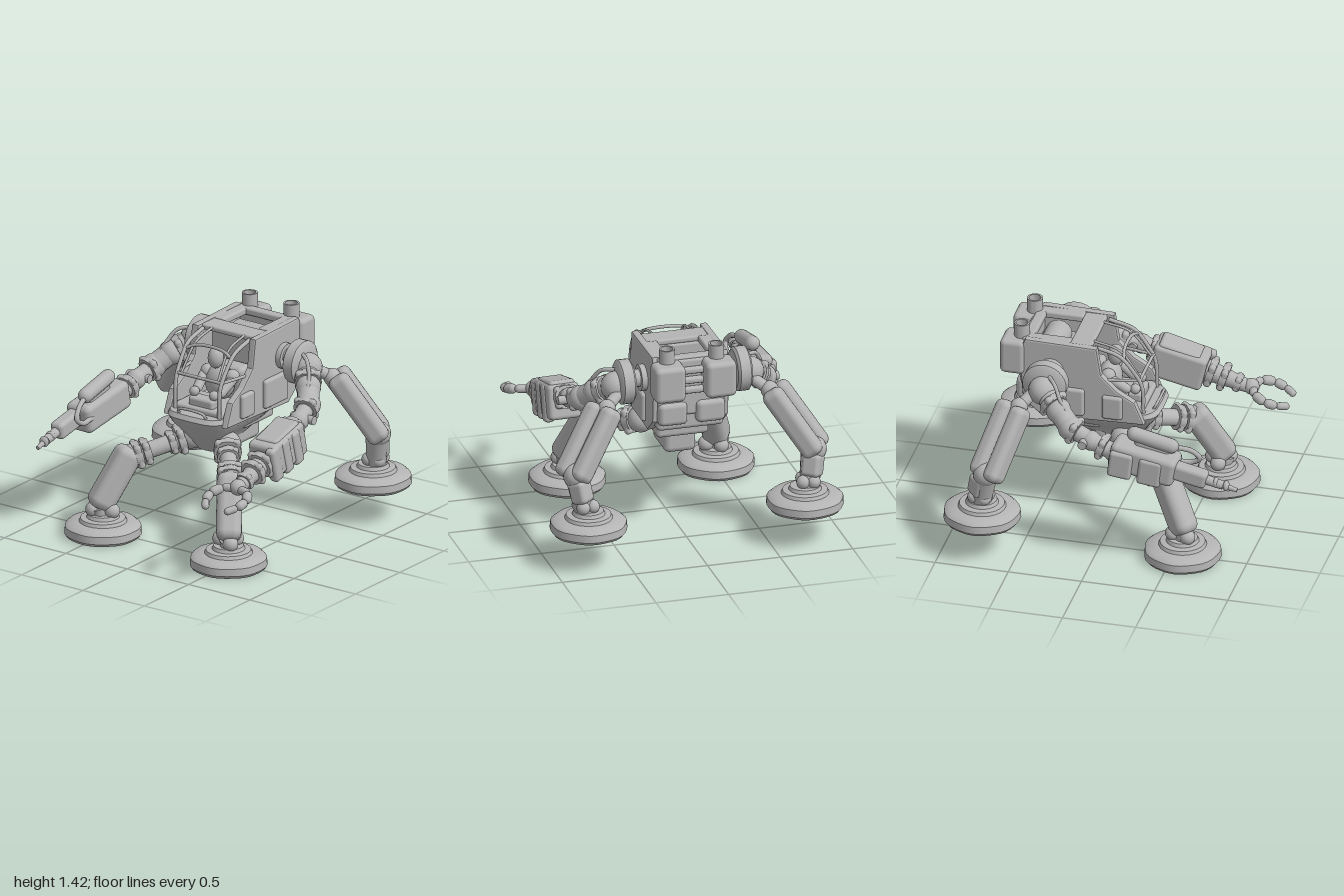
import * as THREE from 'three';
import { toCreasedNormals } from 'three/addons/utils/BufferGeometryUtils.js';
import { RoundedBoxGeometry } from 'three/addons/geometries/RoundedBoxGeometry.js';

const V = (x, y, z) => new THREE.Vector3(x, y, z);

export function createModel() {
  const model = new THREE.Group();
  const grey = new THREE.MeshStandardMaterial({ color: 0xb4b4b4 });
  grey.name = 'plain grey';

  const add = (name, geo, pos = V(0, 0, 0)) => {
    const m = new THREE.Mesh(geo, grey);
    m.name = name;
    m.position.copy(pos);
    model.add(m);
    return m;
  };
  const box = (name, x, y, z, w, h, d, r = 0.02) =>
    add(name, new RoundedBoxGeometry(w, h, d, 2, Math.min(r, w / 2.1, h / 2.1, d / 2.1)), V(x, y, z));
  const ball = (name, p, r, sx = 1, sy = 1, sz = 1) => {
    const m = add(name, new THREE.SphereGeometry(r, 18, 12), p);
    m.scale.set(sx, sy, sz);
    return m;
  };
  // Points a mesh's y axis from a to b, keeping its x axis level
  const aim = (m, a, b) => {
    const y = b.clone().sub(a).normalize();
    const x = Math.abs(y.y) > 0.99 ? V(1, 0, 0) : y.clone().cross(V(0, 1, 0)).normalize();
    const z = x.clone().cross(y).normalize();
    x.crossVectors(y, z);
    m.quaternion.setFromRotationMatrix(new THREE.Matrix4().makeBasis(x, y, z));
    m.position.copy(a).lerp(b, 0.5);
    return m;
  };
  const rod = (name, a, b, r0, r1 = r0) =>
    aim(add(name, toCreasedNormals(new THREE.CylinderGeometry(r1, r0, a.distanceTo(b), 16), 0.7)), a, b);
  const block = (name, a, b, w, d, r = 0.03) =>
    aim(add(name, new RoundedBoxGeometry(w, a.distanceTo(b), d, 2, r)), a, b);
  const pill = (name, a, b, r) =>
    aim(add(name, new THREE.CapsuleGeometry(r, Math.max(0.01, a.distanceTo(b) - 2 * r), 5, 14)), a, b);
  const collar = (name, a, b, t, r, len = 0.05) => {
    const c = a.clone().lerp(b, t), d = b.clone().sub(a).normalize().multiplyScalar(len / 2);
    return block(name, c.clone().sub(d), c.clone().add(d), r * 2, r * 2, len * 0.45),
      rod(name, c.clone().sub(d), c.clone().add(d), r * 1.06);
  };
  const tube = (name, pts, r) =>
    add(name, new THREE.TubeGeometry(new THREE.CatmullRomCurve3(pts), 24, r, 8));

  // Lower hull: squarish rings lofted from the keel to the rim
  const levels = [[0.57, 0.08, 0.12, -0.12], [0.62, 0.1, 0.16, -0.2], [0.7, 0.16, 0.22, -0.36],
    [0.78, 0.235, 0.28, -0.43], [0.83, 0.255, 0.31, -0.5], [0.86, 0.25, 0.29, -0.52]];
  const N = 28, pos = [], idx = [];
  const sq = v => Math.sign(v) * Math.abs(v) ** 0.5;
  for (const [y, w, zf, zb] of levels)
    for (let i = 0; i < N; i++) {
      const t = i / N * Math.PI * 2;
      pos.push(w * sq(Math.sin(t)), y, (zf + zb) / 2 + (zf - zb) / 2 * sq(Math.cos(t)));
    }
  const top = (levels.length - 1) * N;
  for (let k = 0; k < levels.length - 1; k++)
    for (let i = 0; i < N; i++) {
      const a = k * N + i, b = k * N + (i + 1) % N;
      idx.push(a, b, b + N, a, b + N, a + N);
    }
  for (let i = 1; i < N - 1; i++) idx.push(0, i + 1, i, top, top + i, top + i + 1);
  const hull = new THREE.BufferGeometry();
  hull.setAttribute('position', new THREE.Float32BufferAttribute(pos, 3));
  hull.setIndex(idx);
  add('lowerHull', toCreasedNormals(hull, 0.6));
  box('bellyTank', 0, 0.63, -0.21, 0.22, 0.16, 0.31, 0.04);
  box('bellyPlate', 0, 0.74, -0.25, 0.36, 0.1, 0.34, 0.03);

  // Cabin side walls
  const wall = new THREE.Shape([[-0.1, 1.33], [-0.07, 1.14], [0.04, 1.03], [0.16, 0.96], [0.22, 0.82], [-0.46, 0.8],
    [-0.58, 0.9], [-0.61, 1.25], [-0.57, 1.34]].map(p => new THREE.Vector2(...p)));
  const wallGeo = new THREE.ExtrudeGeometry(wall, { depth: 0.03, bevelSize: 0.012, bevelThickness: 0.012, bevelSegments: 2 });
  wallGeo.rotateY(-Math.PI / 2).translate(0.015, 0, 0);
  for (const s of [-1, 1]) {
    add('cabinWall', wallGeo, V(s * 0.235, 0, 0));
    box('sidePad', s * 0.265, 0.92, 0.02, 0.05, 0.17, 0.14);
    box('sidePod', s * 0.265, 0.93, -0.3, 0.05, 0.2, 0.26);
    box('roofRail', s * 0.195, 1.32, -0.43, 0.11, 0.05, 0.3, 0.015);
  }
  box('rearBlock', 0, 1.0, -0.44, 0.46, 0.36, 0.32, 0.03);
  box('rearWall', 0, 1.13, -0.59, 0.46, 0.4, 0.06);
  box('cockpitBack', 0, 1.12, -0.27, 0.46, 0.36, 0.04, 0.015);
  box('roofFrontBar', 0, 1.32, -0.21, 0.44, 0.04, 0.15, 0.015);
  box('roofRearBar', 0, 1.32, -0.57, 0.46, 0.05, 0.07, 0.015);
  rod('engineDrum', V(-0.15, 1.2, -0.45), V(0.15, 1.2, -0.45), 0.09);

  // Exhaust boxes and stacks on the back
  for (const s of [-1, 1]) {
    box('exhaustBox', s * 0.175, 1.205, -0.665, 0.21, 0.25, 0.17, 0.035);
    const stack = new THREE.LatheGeometry([[0, 0], [0.053, 0], [0.053, 0.15], [0.04, 0.15], [0.04, 0.07], [0, 0.07]]
      .map(p => new THREE.Vector2(...p)), 18);
    add('exhaustStack', toCreasedNormals(stack, 0.6), V(s * 0.17, 1.275, -0.62));
    box('lowerRearPod', s * 0.13, 0.95, -0.6, 0.2, 0.16, 0.1, 0.035);
  }
  for (const y of [1.12, 1.19, 1.26]) rod('rearPipe', V(-0.1, y, -0.64), V(0.1, y, -0.64), 0.025);

  // Pilot, seat and console
  box('seat', 0, 0.97, -0.18, 0.26, 0.26, 0.14, 0.04);
  ball('pilotHead', V(-0.015, 1.18, -0.02), 0.055, 0.95, 1.35, 1);
  ball('pilotTorso', V(-0.01, 1.0, -0.06), 0.11, 1, 1.1, 0.75);
  for (const s of [-1, 1]) {
    ball('pilotShoulder', V(s * 0.1, 1.06, -0.05), 0.05);
    pill('pilotArm', V(s * 0.12, 1.06, -0.05), V(s * 0.09, 0.96, 0.1), 0.033);
    ball('controlKnob', V(s * 0.08, 0.975, 0.13), 0.034);
    rod('controlStick', V(s * 0.08, 0.86, 0.12), V(s * 0.08, 0.96, 0.13), 0.014);
  }
  box('console', 0, 0.9, 0.13, 0.2, 0.1, 0.1);
  box('footwell', 0, 0.87, 0.06, 0.4, 0.05, 0.3);

  // Cockpit cage
  for (const s of [-1, 1]) {
    tube('cageBar', [V(s * 0.19, 1.32, -0.12), V(s * 0.19, 1.27, 0.05), V(s * 0.185, 1.17, 0.14),
      V(s * 0.18, 1.06, 0.2), V(s * 0.18, 0.86, 0.21)], 0.014);
    tube('innerCageBar', [V(s * 0.13, 1.33, -0.14), V(s * 0.135, 1.28, 0.04), V(s * 0.15, 1.1, 0.185)], 0.009);
    tube('cageSideBar', [V(s * 0.18, 1.1, 0.18), V(s * 0.21, 1.1, 0.05), V(s * 0.23, 1.1, -0.07)], 0.011);
  }
  rod('cageCrossBar', V(-0.185, 1.1, 0.185), V(0.185, 1.1, 0.185), 0.011);
  tube('cageHoop', [V(-0.19, 1.24, 0.08), V(-0.1, 1.275, 0.06), V(0.1, 1.275, 0.06), V(0.19, 1.24, 0.08)], 0.012);
  tube('frontHandle', [V(-0.11, 0.85, 0.26), V(-0.1, 0.89, 0.28), V(0.1, 0.89, 0.28), V(0.11, 0.85, 0.26)], 0.01);

  // Foot: dished disc with a stepped collar and slightly uneven rim
  const footGeo = new THREE.LatheGeometry([[0, 0.06], [0.12, 0.035], [0.245, 0], [0.26, 0.02], [0.256, 0.07], [0.23, 0.092],
    [0.16, 0.1], [0.15, 0.122], [0.11, 0.127], [0.1, 0.15], [0, 0.15]].map(p => new THREE.Vector2(...p)), 32);
  const fp = footGeo.attributes.position;
  for (let i = 0; i < fp.count; i++) {
    const x = fp.getX(i), z = fp.getZ(i), r = Math.hypot(x, z), a = Math.atan2(z, x);
    if (r > 0.2) { const k = 1 - 0.012 * (1 + Math.cos(7 * a)); fp.setX(i, x * k); fp.setZ(i, z * k); }
    else if (r > 0.115 && r < 0.125) fp.setY(i, 0.035 + 0.015 * Math.cos(8 * a));
  }
  const foot = toCreasedNormals(footGeo, 0.7);

  for (const s of [-1, 1]) {
    const P = (x, y, z) => V(s * x, y, z);

    // Front leg
    const hip = P(0.1, 0.65, 0.02), knee = P(0.41, 0.52, 0.4), ankle = P(0.53, 0.2, 0.59);
    add('frontFoot', foot, P(0.512, 0, 0.565));
    rod('frontThigh', hip, knee, 0.06, 0.055);
    ball('frontHip', P(0.15, 0.63, 0.07), 0.09);
    [[0.3, 0.088], [0.42, 0.07], [0.78, 0.08], [0.9, 0.085]].forEach(([t, r]) => collar('thighCollar', hip, knee, t, r));
    ball('frontKnee', knee, 0.085);
    block('frontShin', P(0.4, 0.585, 0.395), P(0.535, 0.19, 0.595), 0.17, 0.18, 0.06);
    rod('frontAnklePost', P(0.52, 0.12, 0.57), ankle, 0.06);
    ball('ankleBall', P(0.56, 0.18, 0.61), 0.052);
    ball('ankleBall', P(0.44, 0.18, 0.56), 0.052);
    ball('ankleBall', P(0.53, 0.18, 0.5), 0.05);

    // Shoulder drum
    rod('shoulderAxle', P(0.22, 1.14, -0.4), P(0.38, 1.14, -0.4), 0.06);
    rod('axleRing', P(0.255, 1.14, -0.4), P(0.3, 1.14, -0.4), 0.09);
    const drum = new THREE.LatheGeometry([[0, -0.05], [0.13, -0.05], [0.15, -0.035], [0.15, 0.035], [0.13, 0.05], [0, 0.06]]
      .map(p => new THREE.Vector2(...p)), 28);
    aim(add('shoulderDrum', toCreasedNormals(drum, 0.6)), P(0.35, 1.125, -0.4), P(0.45, 1.125, -0.4));
    ball('shoulderBall', P(0.46, 1.1, -0.4), 0.1);

    // Upper arm
    const arm = [P(0.46, 1.1, -0.4), P(0.56, 1.02, -0.27), P(0.63, 0.94, -0.17), P(0.665, 0.885, -0.02), P(0.68, 0.83, 0.14)];
    for (let i = 0; i < 4; i++) {
      rod('armSegment', arm[i], arm[i + 1], i < 2 ? 0.075 : 0.058);
      ball('armJoint', arm[i + 1], i < 2 ? 0.085 : 0.068);
    }
    collar('armCollar', arm[0], arm[1], 0.65, 0.085);
    collar('armCollar', arm[2], arm[3], 0.2, 0.078);
    collar('armCollar', arm[3], arm[4], 0.5, 0.075);
    rod('elbowPin', P(0.58, 0.89, -0.06), P(0.76, 0.89, -0.06), 0.03);
    rod('elbowPin', P(0.6, 0.87, 0.06), P(0.74, 0.87, 0.06), 0.026);
    tube('armHose', [P(0.45, 1.2, -0.36), P(0.53, 1.18, -0.3), P(0.58, 1.1, -0.25), P(0.62, 0.99, -0.16)], 0.014);

    // Rear leg
    const rHip = P(0.44, 1.09, -0.45), rTop = P(0.56, 1.01, -0.54);
    add('rearFoot', foot, P(0.745, 0.235, -0.745));
    rod('rearHipRod', rHip, rTop, 0.04);
    ball('rearHipJoint', rTop, 0.06);
    for (const k of [-1, 1]) {
      const o = P(0.037 * k, 0, 0.056 * k);
      block('rearThigh', P(0.575, 1.035, -0.56).add(o), P(0.855, 0.6, -0.7).add(o), 0.12, 0.15, 0.05);
    }
    rod('rearThighCore', rTop, P(0.82, 0.6, -0.68), 0.06);
    ball('rearKnee', P(0.82, 0.62, -0.7), 0.085);
    rod('rearShin', P(0.815, 0.63, -0.7), P(0.77, 0.37, -0.745), 0.082, 0.065);
    block('rearShinPlate', P(0.81, 0.6, -0.73), P(0.785, 0.45, -0.76), 0.13, 0.12, 0.03);
    for (let i = 0; i < 4; i++) {
      const a = i * Math.PI / 2 + 0.6;
      ball('rearAnkleBall', P(0.765 + 0.05 * Math.cos(a), 0.42, -0.745 + 0.05 * Math.sin(a)), 0.046);
    }
  }

  // Left forearm with gripper
  block('clawForearm', V(0.675, 0.82, 0.06), V(0.685, 0.735, 0.42), 0.22, 0.24, 0.03);
  block('forearmPlate', V(0.675, 0.89, 0.1), V(0.685, 0.81, 0.38), 0.18, 0.13, 0.025);
  for (let i = 0; i < 3; i++)
    block('forearmRib', V(0.765, 0.79 - i * 0.025, 0.12 + i * 0.115), V(0.765, 0.765 - i * 0.025, 0.21 + i * 0.115), 0.07, 0.25, 0.025);
  const w0 = V(0.69, 0.74, 0.4), w1 = V(0.7, 0.63, 0.74);
  rod('clawWrist', w0, w1, 0.075, 0.04);
  [[0.15, 0.085], [0.4, 0.08], [0.68, 0.055]].forEach(([t, r]) => collar('wristCollar', w0, w1, t, r));
  ball('clawHub', V(0.7, 0.645, 0.72), 0.055);
  for (const s of [-1, 1]) {
    const pts = [[0, 0.64, 0.73], [0.1, 0.64, 0.76], [0.145, 0.615, 0.84], [0.13, 0.59, 0.92], [0.08, 0.57, 0.99]]
      .map(([x, y, z]) => V(0.71 + s * x, y, z));
    [0.035, 0.042, 0.04, 0.032].forEach((r, i) => {
      pill('clawFinger', pts[i], pts[i + 1].clone().lerp(pts[i], -0.08), r * 0.8);
    });
  }

  // Right forearm with gun
  block('gunForearm', V(-0.685, 0.85, 0.13), V(-0.71, 0.77, 0.58), 0.2, 0.2, 0.04);
  for (const z of [0.2, 0.4])
    block('gunSidePlate', V(-0.785, 0.84 - z * 0.15, z - 0.07), V(-0.785, 0.82 - z * 0.15, z + 0.09), 0.06, 0.19, 0.025);
  pill('gunCanister', V(-0.68, 1.0, 0.23), V(-0.68, 0.92, 0.58), 0.05);
  block('canisterMount', V(-0.68, 0.92, 0.28), V(-0.68, 0.86, 0.52), 0.07, 0.1);
  tube('gunHose', [V(-0.67, 0.92, 0.56), V(-0.64, 0.89, 0.66), V(-0.62, 0.83, 0.71), V(-0.61, 0.79, 0.66), V(-0.62, 0.79, 0.54)], 0.018);
  block('gunBody', V(-0.73, 0.79, 0.54), V(-0.735, 0.74, 0.79), 0.1, 0.12, 0.03);
  rod('gunBarrel', V(-0.735, 0.745, 0.77), V(-0.735, 0.715, 0.9), 0.034, 0.03);
  rod('gunMuzzle', V(-0.735, 0.72, 0.88), V(-0.735, 0.69, 0.995), 0.022, 0.014);
  for (const z of [0.85, 0.92]) ball('muzzleRing', V(-0.735, 0.93 - z * 0.235, z), 0.036, 1, 1, 0.6);
  return model;
}
